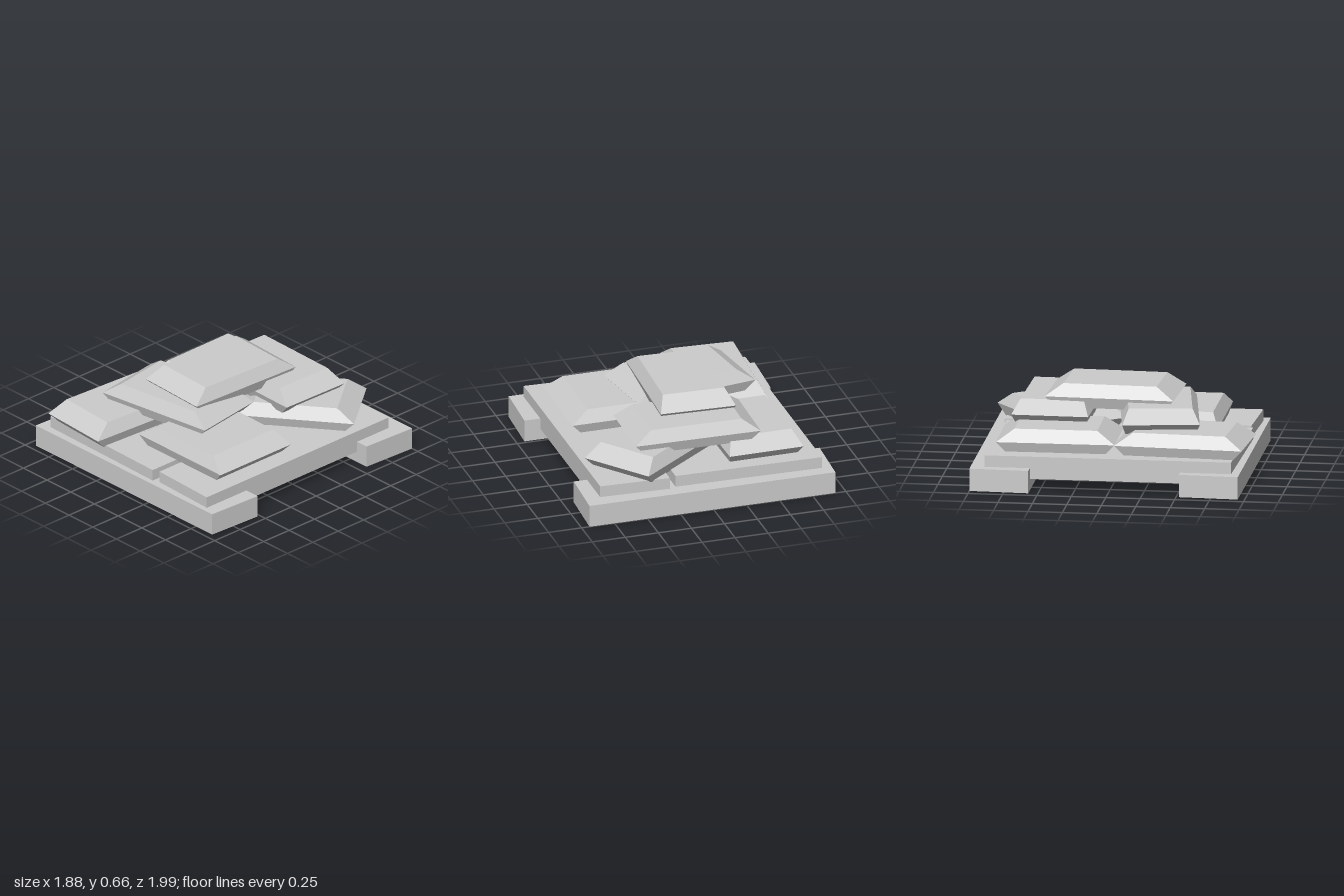
import * as THREE from 'three';
import { ConvexGeometry } from 'three/addons/geometries/ConvexGeometry.js';

const material = new THREE.MeshStandardMaterial({ color: 0xcccccc, flatShading: true });
const hollowMaterial = new THREE.MeshStandardMaterial({ color: 0xcccccc, flatShading: true, side: THREE.DoubleSide });

// Timber without an underside; skewX / skewZ lean its ends slightly out of square
function timber(name, [x0, x1], [y0, y1], [z0, z1], skewX, skewZ) {
  const w = x1 - x0, d = z1 - z0;
  const geo = new THREE.BoxGeometry(w, y1 - y0, d);
  const index = Array.from(geo.index.array);
  index.splice(18, 6); // drop the bottom face
  geo.setIndex(index);
  geo.clearGroups();
  const p = geo.attributes.position;
  for (let i = 0; i < p.count; i++) {
    const x = p.getX(i), z = p.getZ(i);
    p.setX(i, x + skewX * z / d);
    p.setZ(i, z + skewZ * x / w);
  }
  geo.computeVertexNormals();
  const mesh = new THREE.Mesh(geo, hollowMaterial);
  mesh.name = name;
  mesh.position.set((x0 + x1) / 2, (y0 + y1) / 2, (z0 + z1) / 2);
  return mesh;
}

// Bevelled slab, long along z: small base, wide waist, smaller top
function slab(name, x, y, z, turn, width, length) {
  const rings = [[-0.08, 0.025, 0.075], [0, 0, 0], [0.092, 0.05, 0.13]];
  const points = [];
  for (const [h, insetX, insetZ] of rings)
    for (const sx of [-1, 1])
      for (const sz of [-1, 1])
        points.push(new THREE.Vector3(sx * (width / 2 - insetX), h, sz * (length / 2 - insetZ)));
  const mesh = new THREE.Mesh(new ConvexGeometry(points), material);
  mesh.name = name;
  mesh.position.set(x, y, z);
  mesh.rotation.y = turn;
  return mesh;
}

export function createModel() {
  const group = new THREE.Group();
  group.name = 'slabPile';

  // Pallet: two cross beams carrying two wide planks
  group.add(
    timber('backBeam', [-0.93, 0.93], [0, 0.165], [-1, -0.57], -0.02, 0),
    timber('frontBeam', [-0.93, 0.93], [0, 0.165], [0.52, 0.95], -0.02, 0),
    timber('widePlank', [-0.85, 0.25], [0.085, 0.25], [-0.89, 0.9], 0, 0.02),
    timber('narrowPlank', [0.3, 0.82], [0.085, 0.25], [-0.89, 0.9], 0, 0.02)
  );

  // Bottom layer
  const quarter = Math.PI / 2;
  group.add(
    slab('frontLeftSlab', -0.49, 0.322, 0.51, -0.06, 0.56, 0.935),
    slab('backLeftSlab', -0.45, 0.322, -0.405, 0.01, 0.56, 0.86),
    slab('frontRightSlab', 0.31, 0.322, 0.355, quarter, 0.69, 0.86),
    slab('backRightSlab', 0.31, 0.322, -0.49, -0.914, 0.556, 0.87)
  );

  // Middle layer
  group.add(
    slab('middleBackSlab', 0.03, 0.457, -0.47, quarter - 0.02, 0.56, 0.94),
    slab('middleFrontSlab', -0.157, 0.457, 0.282, quarter + 0.15, 0.56, 0.94)
  );

  // Top slab
  group.add(slab('topSlab', -0.06, 0.572, -0.05, -0.043, 0.56, 0.94));
  return group;
}
